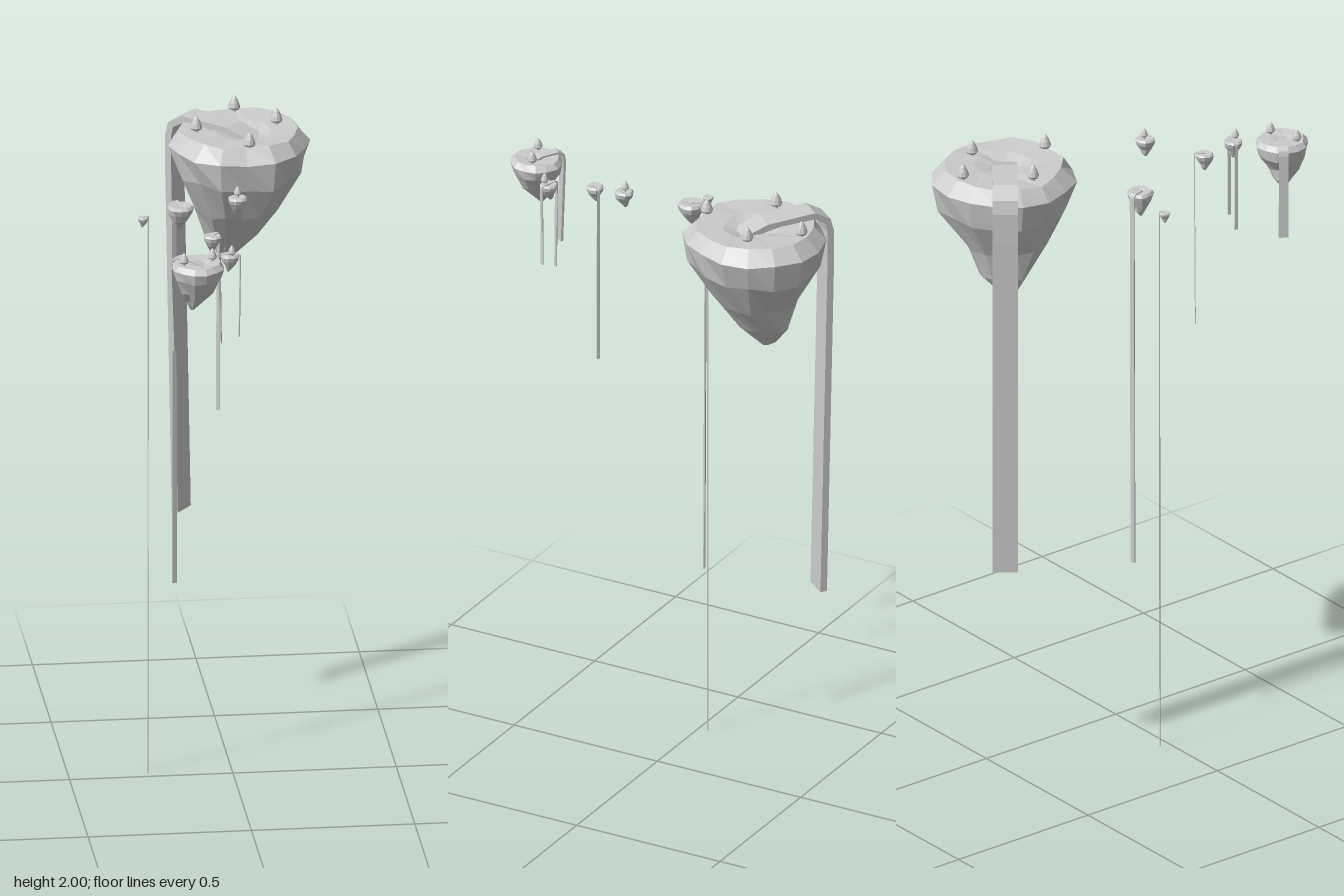
import * as THREE from 'three';

const rockMat = new THREE.MeshStandardMaterial({ color: 0xcccccc, flatShading: true });

// small seeded random generator, returns -1..1
function seeded(seed) {
  let s = seed * 7919 + 17;
  return () => {
    s = (s * 16807) % 2147483647;
    return (s / 2147483647) * 2 - 1;
  };
}

// skin a list of rings (each the same number of Vector3) into a closed surface
function loft(rings) {
  const n = rings[0].length, pos = [];
  for (let i = 0; i < rings.length - 1; i++) {
    for (let j = 0; j < n; j++) {
      const k = (j + 1) % n;
      const a = rings[i][j], b = rings[i][k], c = rings[i + 1][j], d = rings[i + 1][k];
      for (const v of [a, b, c, b, d, c]) pos.push(v.x, v.y, v.z);
    }
  }
  const g = new THREE.BufferGeometry();
  g.setAttribute('position', new THREE.Float32BufferAttribute(pos, 3));
  g.computeVertexNormals();
  return g;
}

// unit island levels: radius, height, x shift, z shift, roughness
const LEVELS = [
  [0, -0.12, 0.14, 0.1, 0],
  [0.4, -0.02, 0.05, 0.03, 0.03],
  [0.84, 0, 0, 0, 0.03],
  [1.01, -0.2, 0, 0, 0.035],
  [0.91, -0.6, 0, 0, 0.05],
  [0.58, -1.15, -0.04, 0.02, 0.07],
  [0.35, -1.58, -0.11, -0.08, 0.05],
  [0.1, -1.92, -0.2, -0.08, 0.02],
  [0, -1.98, -0.2, -0.08, 0],
];

function rock(seed, sides) {
  const rnd = seeded(seed);
  const outline = Array.from({ length: sides }, () => 1 + rnd() * 0.04);
  return loft(LEVELS.map(([r, y, sx, sz, rough]) => outline.map((o, j) => {
    const a = (j / sides) * Math.PI * 2;
    const rr = r * o + rnd() * rough;
    return new THREE.Vector3(sx + Math.cos(a) * rr, y + rnd() * rough * 0.7, sz + Math.sin(a) * rr);
  })));
}

// thick ribbon of water: runs over the top in direction (dx, dz), then drops by `drop`
function waterfall(dx, dz, R, drop, width) {
  const up = new THREE.Vector3(0, 1, 0);
  const d = new THREE.Vector3(dx, 0, dz).normalize();
  const w = d.clone().cross(up);
  const path = [
    [-0.25, -0.13], [0.12, 0.0], [0.84, 0.04], [1.04, -0.08], [1.08, -0.25], [1.08, -0.7], [0.97, -drop / R],
  ].map(([f, h]) => d.clone().multiplyScalar(f * R).addScaledVector(up, h * R));
  const last = path.length - 1;
  const th = width * 0.14;
  const rings = path.map((p, i) => {
    const t = path[Math.min(i + 1, last)].clone().sub(path[Math.max(i - 1, 0)]).normalize();
    const n = w.clone().cross(t);
    return [[-1, 1], [1, 1], [1, -1], [-1, -1]].map(([a, b]) =>
      p.clone().addScaledVector(w, a * width / 2).addScaledVector(n, b * th));
  });
  // closed ends
  rings.unshift(Array(4).fill(path[0]));
  rings.push(Array(4).fill(path[last]));
  return new THREE.Mesh(loft(rings), rockMat);
}

// bullet-shaped tree on a short trunk, 0.058 high at scale 1
const crownGeo = new THREE.LatheGeometry(
  [[0, 0.012], [0.016, 0.011], [0.02, 0.018], [0.016, 0.032], [0.009, 0.047], [0, 0.058]]
    .map(([x, y]) => new THREE.Vector2(x, y)), 10);
const trunkGeo = new THREE.CylinderGeometry(0.006, 0.008, 0.026, 6);

function tree(scale) {
  const g = new THREE.Group();
  g.name = 'tree';
  const crown = new THREE.Mesh(crownGeo, rockMat);
  crown.name = 'treeCrown';
  const trunk = new THREE.Mesh(trunkGeo, rockMat);
  trunk.name = 'treeTrunk';
  trunk.position.y = 0.001;
  g.add(crown, trunk);
  g.scale.setScalar(scale);
  return g;
}

// at: island top centre; falls: [dx, dz, bottom height, width]; trees: [x, z] offsets
const ISLANDS = [
  { name: 'mainIsland', at: [0.065, 1.948, -0.38], R: 0.215, sides: 16, treeScale: 0.95,
    falls: [[-0.19, -0.145, 0.675, 0.077]],
    trees: [[0, -0.16], [-0.135, 0.005], [0.115, -0.035], [0.01, 0.165]] },
  { name: 'frontIsland', at: [-0.165, 1.858, 0.513], R: 0.08, sides: 14, treeScale: 0.72,
    falls: [[-0.065, -0.045, 1.56, 0.029]], trees: [[0.045, -0.009], [-0.045, 0.022]] },
  { name: 'twinFallIsland', at: [-0.055, 1.84, 0.41], R: 0.029, sides: 10, treeScale: 0.6,
    falls: [[-0.03, -0.01, 1.55, 0.01], [0.033, 0.009, 1.575, 0.01]], trees: [[0.004, 0.012]] },
  { name: 'smallIsland', at: [-0.092, 1.852, 0.27], R: 0.028, sides: 10,
    falls: [[0.016, -0.02, 1.275, 0.01]], trees: [] },
  { name: 'treeIsland', at: [0.002, 1.914, 0.115], R: 0.03, sides: 10, treeScale: 0.6,
    falls: [], trees: [[0, -0.004]] },
  { name: 'sideIsland', at: [-0.158, 1.84, -0.03], R: 0.041, sides: 12,
    falls: [[-0.012, -0.035, 0.6, 0.015]], trees: [] },
  { name: 'tinyIsland', at: [-0.272, 1.808, -0.024], R: 0.017, sides: 9,
    falls: [[0.011, -0.005, 0, 0.005]], trees: [] },
];

export function createModel() {
  const model = new THREE.Group();
  model.name = 'floatingIslands';
  ISLANDS.forEach((spec, i) => {
    const island = new THREE.Group();
    island.name = spec.name;
    island.position.set(...spec.at);
    const body = new THREE.Mesh(rock(i + 3, spec.sides), rockMat);
    body.name = 'rock';
    body.scale.setScalar(spec.R);
    island.add(body);
    for (const [dx, dz, bottom, width] of spec.falls) {
      const fall = waterfall(dx, dz, spec.R, spec.at[1] - bottom, width);
      fall.name = 'waterfall';
      island.add(fall);
    }
    for (const [x, z] of spec.trees) {
      const t = tree(spec.treeScale);
      t.position.set(x, -0.02 * spec.R, z);
      island.add(t);
    }
    model.add(island);
  });
  return model;
}
